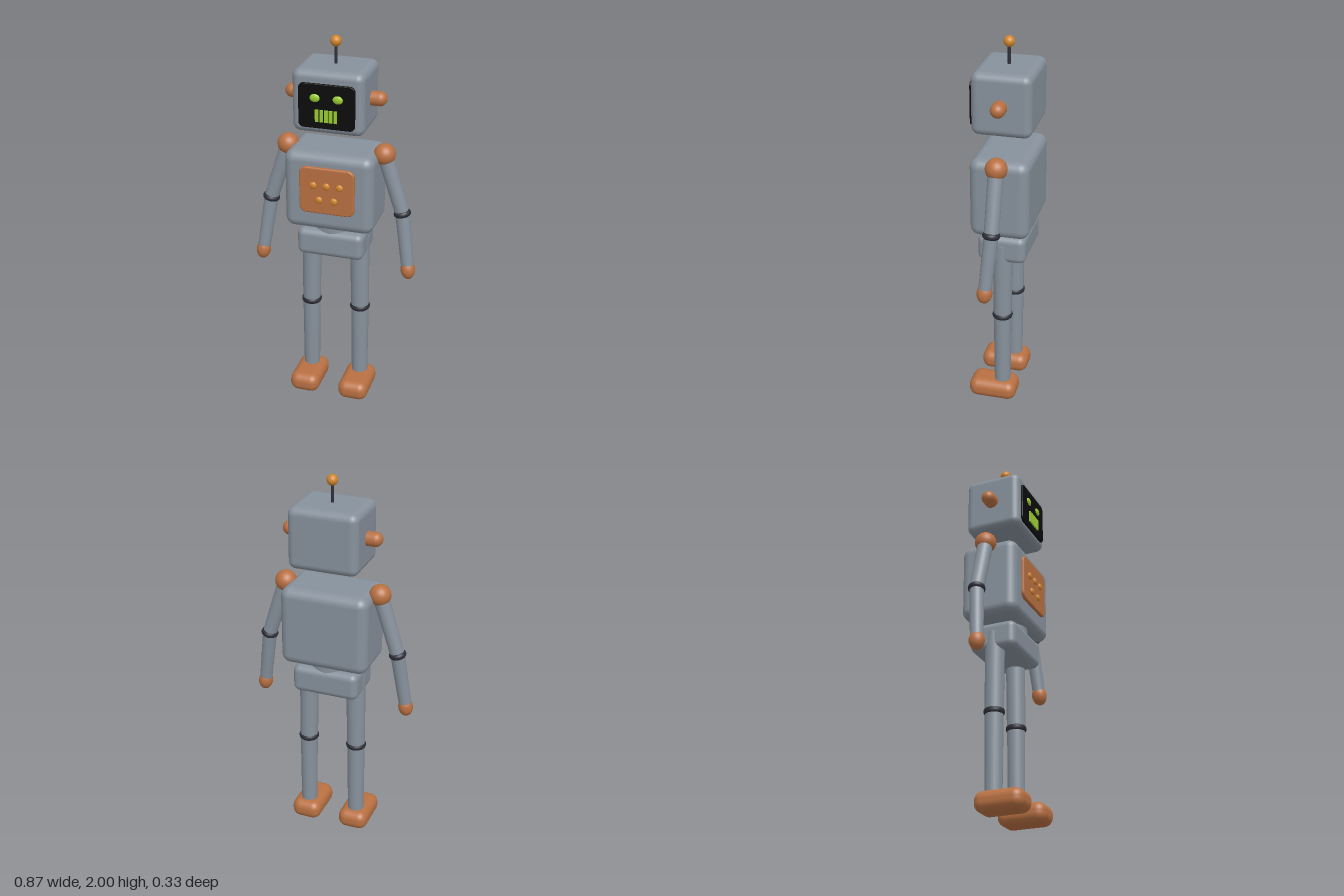
import * as THREE from 'three';
import { RoundedBoxGeometry } from 'three/addons/geometries/RoundedBoxGeometry.js';

const mat = (name, color) => {
  const m = new THREE.MeshStandardMaterial({ color });
  m.name = name;
  return m;
};

export function createModel() {
  const steel = mat('steel', 0x87919c);
  const copper = mat('copper', 0xb87042);
  const gold = mat('gold', 0xd0852a);
  const rubber = mat('dark rubber', 0x2e3039);
  const black = mat('screen black', 0x0c0c0d);
  const green = mat('glow green', 0x9acd32);

  const robot = new THREE.Group();
  robot.name = 'robot';
  const Z = -0.01; // common centre plane of the body
  const v = (x, y, z = Z) => new THREE.Vector3(x, y, z);

  const add = (name, geometry, material, x, y, z = Z) => {
    const mesh = new THREE.Mesh(geometry, material);
    mesh.name = name;
    mesh.position.set(x, y, z);
    robot.add(mesh);
    return mesh;
  };
  const box = (w, h, d, r) => new RoundedBoxGeometry(w, h, d, 5, r);
  const ball = (r) => new THREE.SphereGeometry(r, 24, 16);

  // Turns a mesh so its own y axis runs along a direction
  const aim = (mesh, dir) =>
    mesh.quaternion.setFromUnitVectors(new THREE.Vector3(0, 1, 0), dir.clone().normalize());

  // Round bar between two points
  const bar = (name, a, b, rA, rB, material) => {
    const dir = b.clone().sub(a);
    const mid = a.clone().add(b).multiplyScalar(0.5);
    const mesh = add(name, new THREE.CylinderGeometry(rB, rA, dir.length(), 24), material, mid.x, mid.y, mid.z);
    aim(mesh, dir);
    return mesh;
  };

  // Rubber ring around a joint
  const ring = (name, p, dir, R, tube) => {
    const geo = new THREE.TorusGeometry(R, tube, 12, 28).rotateX(Math.PI / 2);
    aim(add(name, geo, rubber, p.x, p.y, p.z), dir);
  };

  // Rounded plate facing front, from its back face at z = 0
  const plate = (w, h, r, depth, bevel) => {
    const x = w / 2 - bevel, y = h / 2 - bevel;
    const s = new THREE.Shape();
    s.moveTo(-x + r, -y);
    s.lineTo(x - r, -y).absarc(x - r, -y + r, r, -Math.PI / 2, 0);
    s.lineTo(x, y - r).absarc(x - r, y - r, r, 0, Math.PI / 2);
    s.lineTo(-x + r, y).absarc(-x + r, y - r, r, Math.PI / 2, Math.PI);
    s.lineTo(-x, -y + r).absarc(-x + r, -y + r, r, Math.PI, Math.PI * 1.5);
    return new THREE.ExtrudeGeometry(s, {
      depth: depth - bevel, bevelSize: bevel, bevelThickness: bevel, bevelSegments: 3, curveSegments: 8,
    });
  };

  // Head, screen and antenna
  add('head', box(0.366, 0.32, 0.305, 0.04), steel, 0, 1.70);
  add('faceScreen', plate(0.286, 0.226, 0.022, 0.012, 0.004), black, 0, 1.688, 0.141);
  add('antennaStem', new THREE.CylinderGeometry(0.008, 0.008, 0.12, 12), rubber, 0, 1.91);
  add('antennaBall', ball(0.028), gold, 0, 1.972);

  // Mouth grille
  for (let i = -2; i <= 2; i++) {
    add('mouthBar', new THREE.BoxGeometry(0.017, 0.062, 0.01), green, i * 0.0235, 1.642, 0.156);
  }

  // Body
  add('torso', box(0.466, 0.42, 0.305, 0.05), steel, 0, 1.22);
  add('waist', new THREE.CylinderGeometry(0.115, 0.115, 0.1, 32), steel, 0, 1.0);
  add('pelvis', box(0.354, 0.147, 0.25, 0.035), steel, 0, 0.917);
  add('chestPanel', plate(0.288, 0.25, 0.028, 0.018, 0.008), copper, 0, 1.24, 0.14);
  for (const [x, y] of [[-0.069, 1.27], [0, 1.27], [0.069, 1.27], [-0.039, 1.192], [0.039, 1.192]]) {
    add('chestButton', ball(0.019), gold, x, y, 0.158).scale.z = 0.6;
  }

  for (const [side, s] of [['left', 1], ['right', -1]]) {
    const eye = add(side + 'Eye', ball(0.026), green, s * 0.058, 1.73, 0.152);
    eye.scale.set(1, 0.8, 0.4);
    const ear = add(side + 'Ear', new THREE.CapsuleGeometry(0.037, 0.09, 8, 24), copper, s * 0.18, 1.70);
    ear.rotation.z = Math.PI / 2;

    // Arm
    const shoulder = v(s * 0.254, 1.41);
    const elbow = v(s * 0.354, 1.097);
    const hand = v(s * 0.398, 0.79, 0.015);
    const foreDir = hand.clone().sub(elbow);
    add(side + 'Shoulder', ball(0.056), copper, shoulder.x, shoulder.y);
    bar(side + 'UpperArm', shoulder, elbow, 0.04, 0.037, steel);
    bar(side + 'Forearm', elbow, hand, 0.037, 0.033, steel);
    ring(side + 'ElbowRing', elbow, foreDir.clone().add(elbow.clone().sub(shoulder)), 0.027, 0.018);
    const palm = add(side + 'Hand', ball(0.038), copper, hand.x, hand.y, hand.z);
    palm.scale.set(1, 1.38, 1.05);
    aim(palm, foreDir.negate());

    // Leg
    const hip = v(s * 0.13, 0.94);
    const knee = v(s * 0.136, 0.515);
    const ankle = v(s * 0.138, 0.07);
    bar(side + 'Thigh', hip, knee, 0.051, 0.048, steel);
    bar(side + 'Shin', knee, ankle, 0.047, 0.043, steel);
    ring(side + 'KneeRing', knee, ankle.clone().sub(hip), 0.033, 0.021);
    add(side + 'Foot', box(0.163, 0.107, 0.258, 0.047), copper, s * 0.137, 0.0535, 0.037);
  }
  return robot;
}
